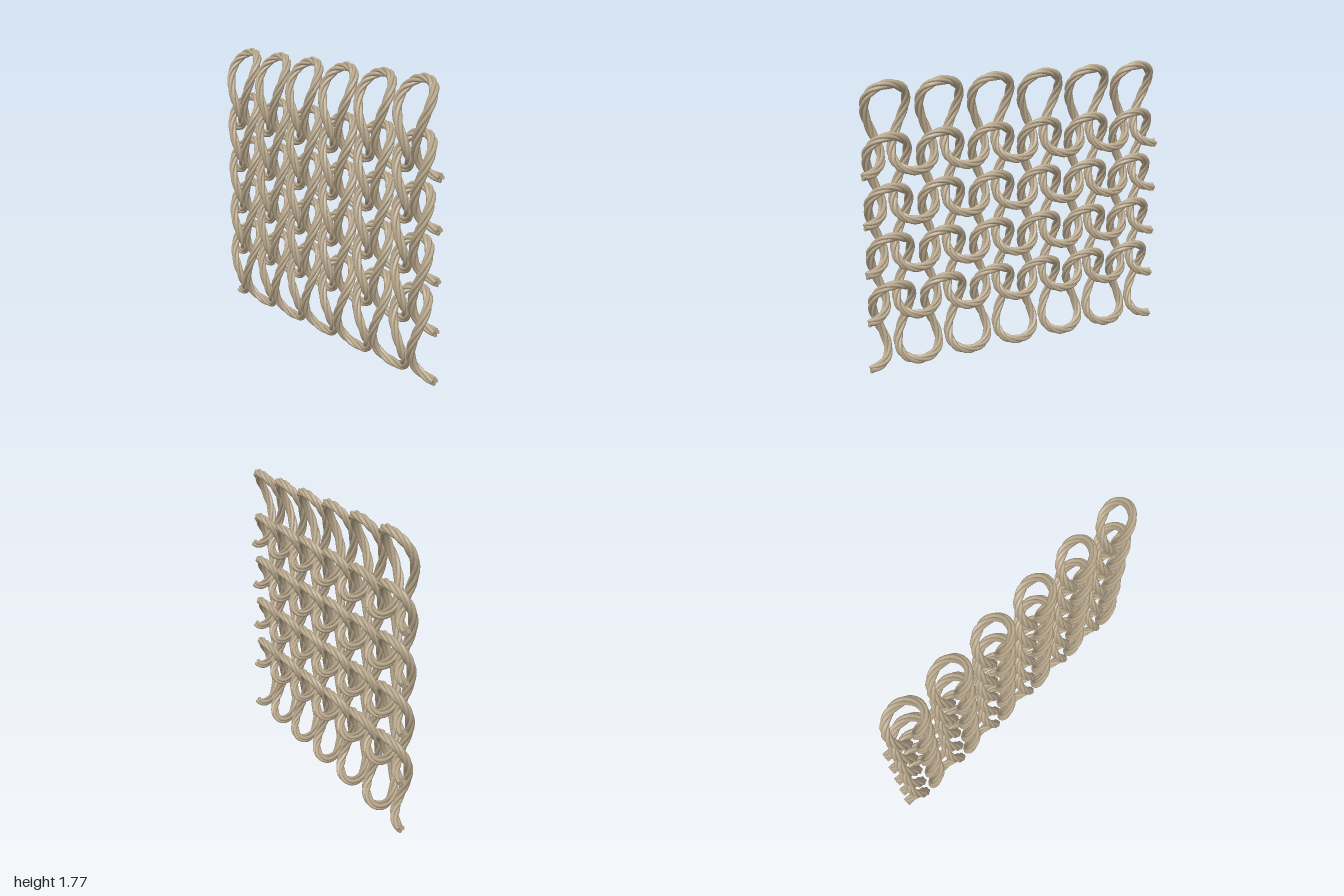
import * as THREE from 'three';

const STITCHES = 6, ROWS = 5, PLIES = 4;
const PITCH = 0.332;        // stitch width
const ROW_STEP = 0.2975;    // distance between rows
const LOOP_HEIGHT = 0.52;   // bottom bend to top bend
const YARN_RADIUS = 0.028, PLY_RADIUS = 0.0125;
const TWISTS = 4;           // yarn turns per stitch

// Centre line of one row of knit stitches, u = 0..1 along the row
function yarnCentre(u) {
  const t = u * STITCHES * Math.PI * 2;
  const c = Math.cos(t);
  const bulge = 0.0825 + 0.0075 * c; // bottom bends are a little wider than top bends
  return new THREE.Vector3(
    (u - 0.5) * STITCHES * PITCH + bulge * Math.sin(2 * t),
    YARN_RADIUS + LOOP_HEIGHT * (1 - c) / 2,
    0.008 - 0.05 * Math.cos(2 * t) + 0.0135 * c
  );
}

// One ply winding around the yarn's centre line
class PlyCurve extends THREE.Curve {
  constructor(phase) {
    super();
    this.phase = phase;
    this.arcLengthDivisions = 1500;
  }
  getPoint(u, target = new THREE.Vector3()) {
    const e = 1e-4;
    const tangent = yarnCentre(u + e).sub(yarnCentre(u - e)).normalize();
    const side = new THREE.Vector3(0, 0, 1).cross(tangent).normalize();
    const front = tangent.clone().cross(side);
    const angle = this.phase + u * STITCHES * TWISTS * Math.PI * 2;
    const r = YARN_RADIUS - PLY_RADIUS;
    return target.copy(yarnCentre(u))
      .addScaledVector(side, r * Math.cos(angle))
      .addScaledVector(front, r * Math.sin(angle));
  }
}

export function createModel() {
  const model = new THREE.Group();
  model.name = 'knittedSwatch';
  const material = new THREE.MeshStandardMaterial({ color: 0xb8a78c });

  // Geometries of the plies, shared by all rows
  const plies = [];
  for (let i = 0; i < PLIES; i++) {
    const curve = new PlyCurve(i / PLIES * Math.PI * 2);
    plies.push({ curve, tube: new THREE.TubeGeometry(curve, STITCHES * 72, PLY_RADIUS, 7) });
  }
  const cap = new THREE.CircleGeometry(PLY_RADIUS, 10);

  for (let j = 0; j < ROWS; j++) {
    const row = new THREE.Group();
    row.name = `yarnRow${j + 1}`;
    row.position.y = j * ROW_STEP;
    for (const { curve, tube } of plies) {
      const ply = new THREE.Mesh(tube, material);
      ply.name = 'yarnPly';
      row.add(ply);
      // Cut ends
      for (const u of [0, 1]) {
        const end = new THREE.Mesh(cap, material);
        end.name = 'cutEnd';
        end.position.copy(curve.getPointAt(u));
        const outward = curve.getTangentAt(u).multiplyScalar(u ? 1 : -1);
        end.quaternion.setFromUnitVectors(new THREE.Vector3(0, 0, 1), outward);
        row.add(end);
      }
    }
    model.add(row);
  }
  return model;
}
